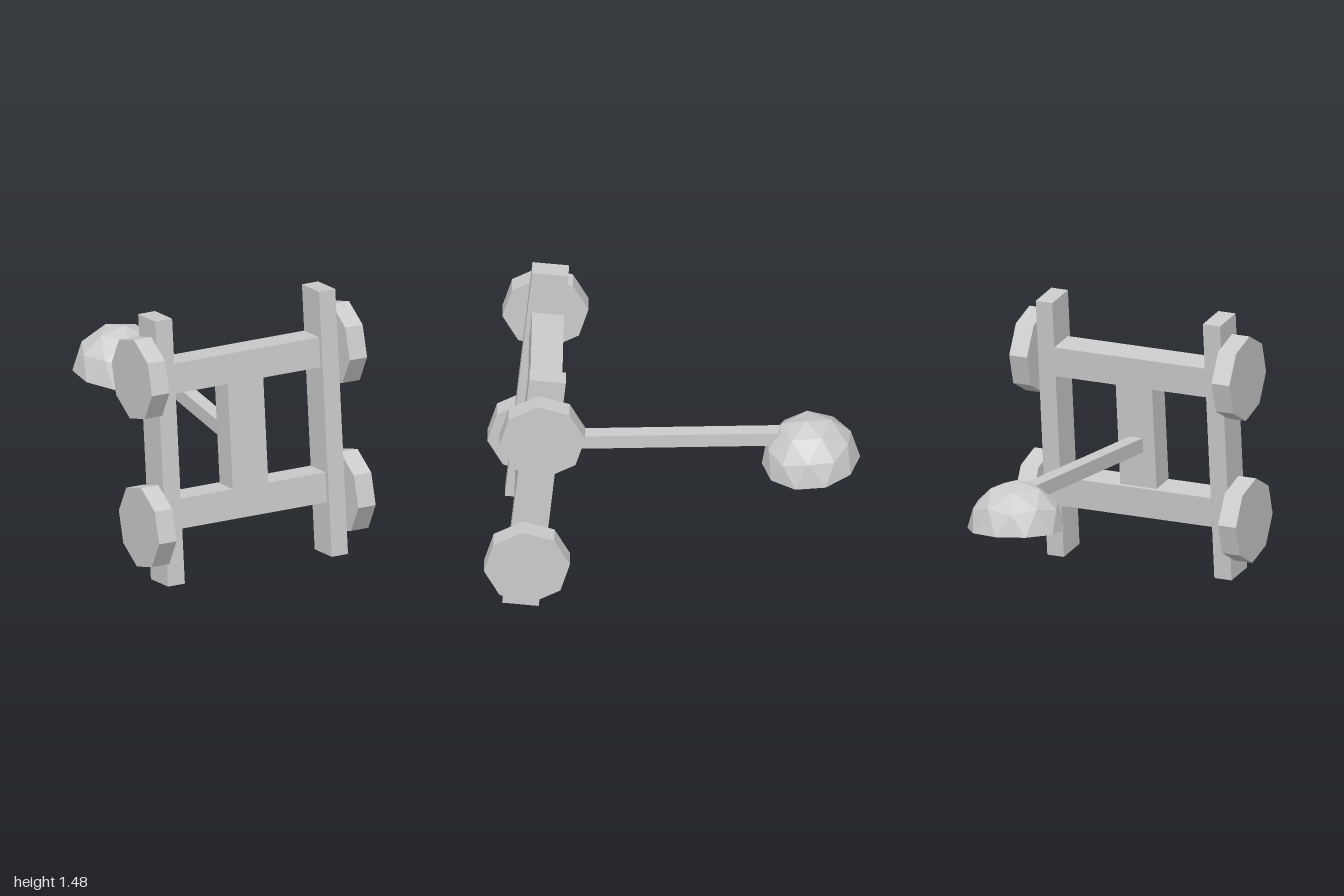
import * as THREE from 'three';

const material = new THREE.MeshStandardMaterial({ color: 0xcccccc, flatShading: true, side: THREE.DoubleSide });

function add(parent, name, geometry, x, y, z) {
  const mesh = new THREE.Mesh(geometry, material);
  mesh.name = name;
  mesh.position.set(x, y, z);
  parent.add(mesh);
  return mesh;
}

// Upper half of a subdivided icosahedron standing on one of its corners
function halfIcosphere(radius) {
  const full = new THREE.IcosahedronGeometry(radius, 1);
  full.rotateZ(Math.atan(2 / (1 + Math.sqrt(5))));
  const p = full.attributes.position;
  const kept = [];
  for (let i = 0; i < p.count; i += 3) {
    if (p.getY(i) + p.getY(i + 1) + p.getY(i + 2) < 0) continue;
    for (let j = i; j < i + 3; j++) kept.push(p.getX(j), p.getY(j), p.getZ(j));
  }
  const half = new THREE.BufferGeometry();
  half.setAttribute('position', new THREE.Float32BufferAttribute(kept, 3));
  half.computeVertexNormals();
  return half;
}

export function createModel() {
  const model = new THREE.Group();
  model.name = 'catapult';

  // Wheeled frame, standing on end and leaning back a little
  const frame = new THREE.Group();
  frame.name = 'frame';
  frame.position.set(0, 0.743, 0.735);
  frame.rotation.x = -0.099;
  model.add(frame);

  add(frame, 'leftRail', new THREE.BoxGeometry(0.098, 1.467, 0.196), 0.489, 0, 0);
  add(frame, 'rightRail', new THREE.BoxGeometry(0.102, 1.467, 0.196), -0.5, 0, 0);
  add(frame, 'upperBeam', new THREE.BoxGeometry(0.9, 0.166, 0.171), -0.005, 0.394, -0.013);
  add(frame, 'lowerBeam', new THREE.BoxGeometry(0.9, 0.166, 0.171), -0.005, -0.354, -0.015);
  add(frame, 'centrePost', new THREE.BoxGeometry(0.215, 0.59, 0.15), -0.013, 0.02, -0.004);

  // Eight-sided wheels
  const wheel = new THREE.CylinderGeometry(0.231, 0.231, 0.105, 8);
  wheel.rotateZ(Math.PI / 2).rotateX(0.2);
  for (const [name, x, y] of [
    ['upperLeftWheel', 0.593, 0.41], ['lowerLeftWheel', 0.602, -0.41],
    ['upperRightWheel', -0.603, 0.41], ['lowerRightWheel', -0.603, -0.41],
  ]) add(frame, name, wheel, x, y, -0.004);

  // Throwing arm from the post to the bowl
  const start = new THREE.Vector3(-0.013, 0.706, 0.68);
  const end = new THREE.Vector3(0.037, 0.779, -0.57);
  const middle = start.clone().add(end).multiplyScalar(0.5);
  const arm = add(model, 'arm', new THREE.BoxGeometry(0.077, 0.08, start.distanceTo(end)), middle.x, middle.y, middle.z);
  arm.lookAt(start);

  // Upturned hollow bowl with a flat rim
  const bowl = new THREE.Group();
  bowl.name = 'bowl';
  bowl.position.set(0.036, 0.621, -0.737);
  bowl.rotation.set(0.095, 0, -0.05);
  model.add(bowl);
  const outer = 0.264, inner = 0.243;
  add(bowl, 'bowlOutside', halfIcosphere(outer), 0, 0, 0);
  add(bowl, 'bowlInside', halfIcosphere(inner), 0, 0, 0);
  add(bowl, 'bowlRim', new THREE.RingGeometry(inner, outer, 10, 1, Math.PI / 2).rotateX(Math.PI / 2), 0, 0, 0);

  return model;
}
